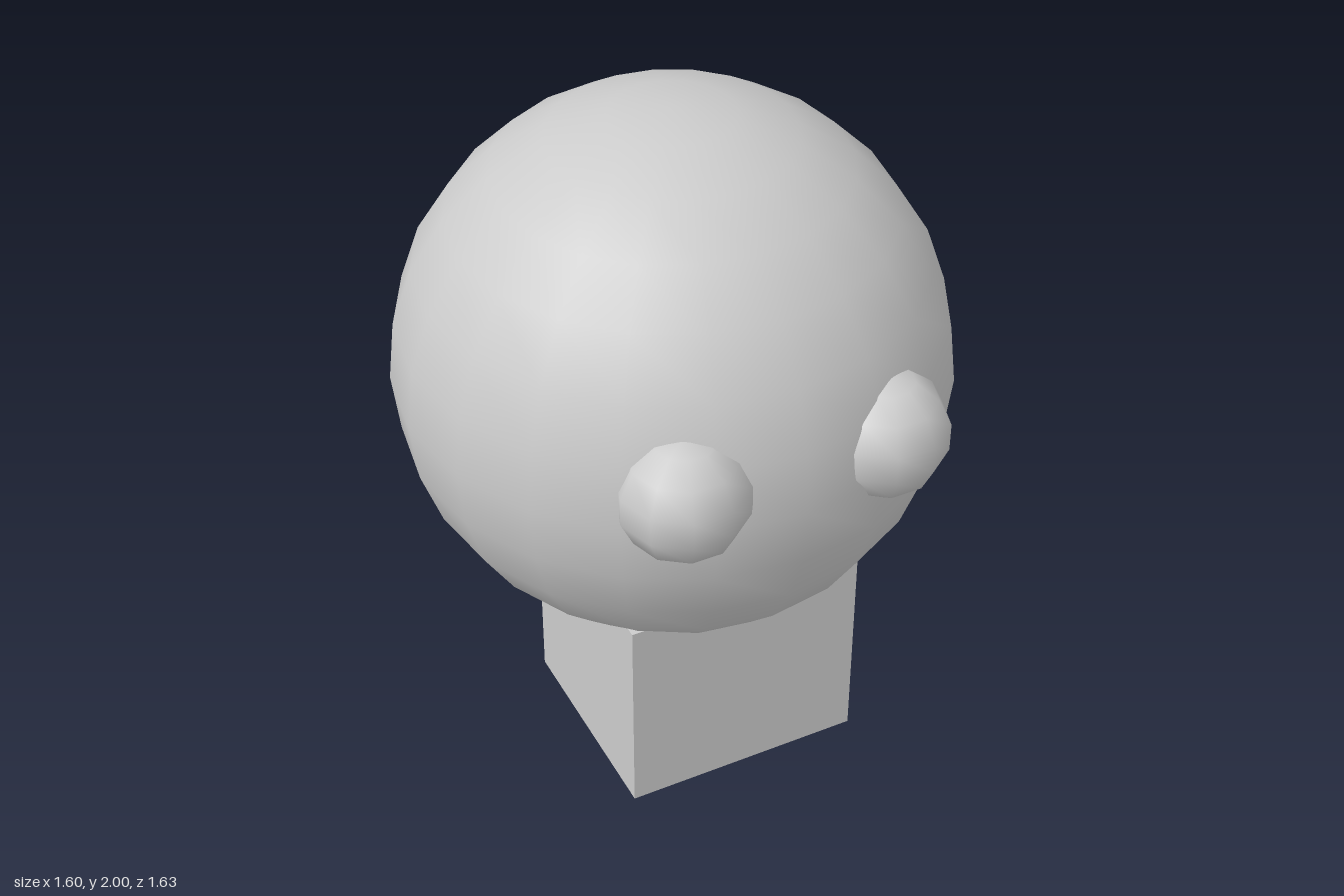
import * as THREE from 'three';

export function createModel() {
  const model = new THREE.Group();
  const material = new THREE.MeshStandardMaterial({ color: 0xcccccc });

  const add = (name, geometry, x, y, z) => {
    const mesh = new THREE.Mesh(geometry, material);
    mesh.name = name;
    mesh.position.set(x, y, z);
    model.add(mesh);
  };

  // Large round head
  add('head', new THREE.SphereGeometry(0.8, 20, 14), 0, 1.2, -0.02);

  // Bulging eyes, half sunk into the head
  const eye = new THREE.SphereGeometry(0.185, 10, 7);
  for (const [name, side] of [['leftEye', 1], ['rightEye', -1]]) {
    add(name, eye, side * 0.297, 1.277, 0.643);
  }

  // Block body, its top front corners just clear of the head
  const height = 0.655;
  add('body', new THREE.BoxGeometry(0.724, height, 0.655), 0, height / 2, 0.13);

  return model;
}
